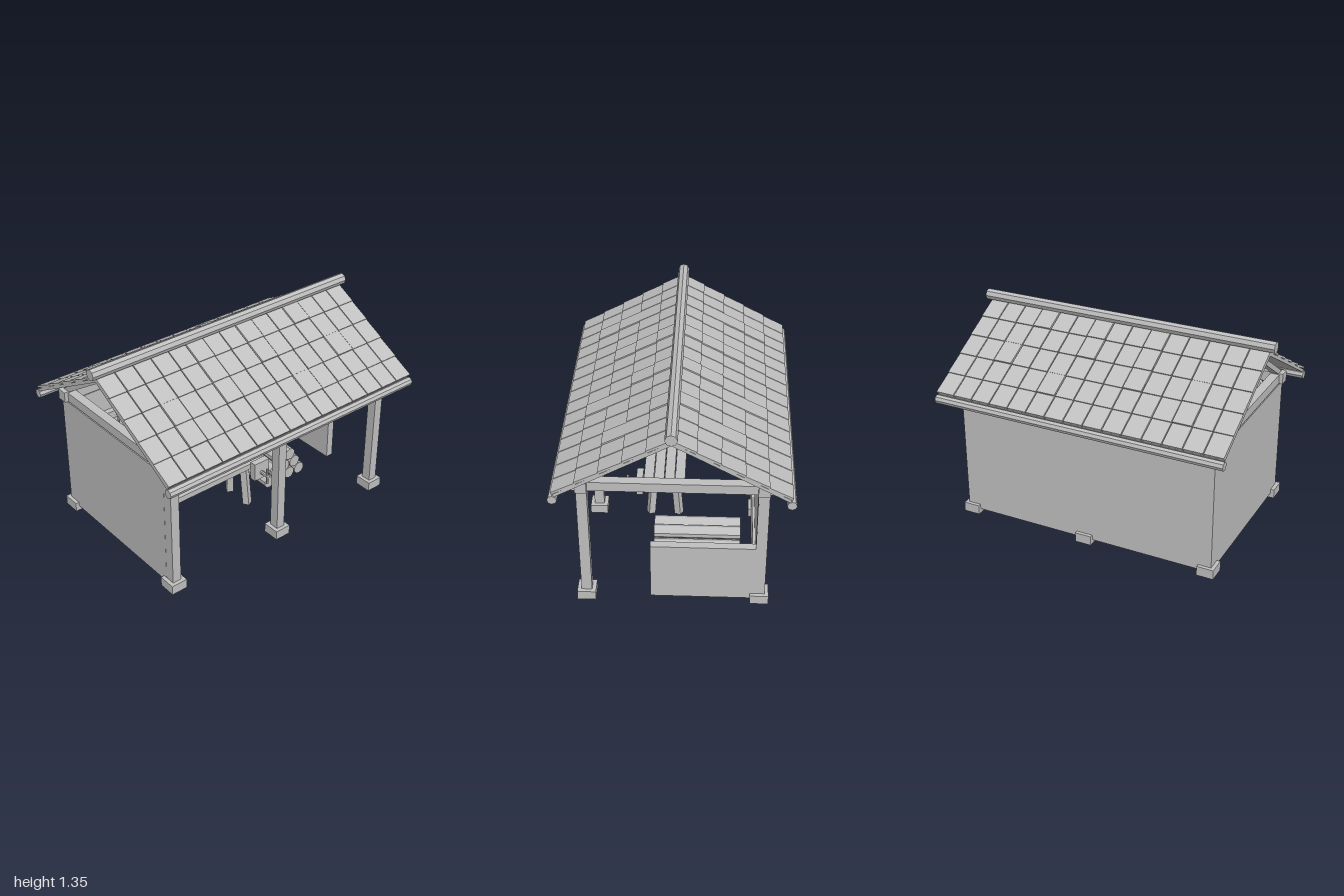
import * as THREE from 'three';

const timber = new THREE.MeshStandardMaterial({ color: 0xc0c0c0, flatShading: true, side: THREE.DoubleSide });
timber.name = 'plainGrey';

const V = (x, y, z) => new THREE.Vector3(x, y, z);

function add(parent, name, geo) {
  const m = new THREE.Mesh(geo, timber);
  m.name = name;
  parent.add(m);
  return m;
}

// box given by its limits on each axis
function box(parent, name, x0, x1, y0, y1, z0, z1) {
  const m = add(parent, name, new THREE.BoxGeometry(x1 - x0, y1 - y0, z1 - z0));
  m.position.set((x0 + x1) / 2, (y0 + y1) / 2, (z0 + z1) / 2);
  return m;
}

// square timber from a to b
function beam(parent, name, a, b, w, h) {
  const m = add(parent, name, new THREE.BoxGeometry(w, h, a.distanceTo(b)));
  m.position.copy(a).lerp(b, 0.5);
  m.lookAt(b);
  return m;
}

// round pole from a to b
function pole(parent, name, a, b, r, sides) {
  const g = new THREE.CylinderGeometry(r, r, a.distanceTo(b), sides);
  g.rotateX(Math.PI / 2);
  const m = add(parent, name, g);
  m.position.copy(a).lerp(b, 0.5);
  m.lookAt(b);
  return m;
}

function group(parent, name) {
  const g = new THREE.Group();
  g.name = name;
  parent.add(g);
  return g;
}

function buildFrame(root) {
  const g = group(root, 'frame');
  for (const z of [0.5325, -0.5325]) {
    for (const x of [-0.835, 0, 0.835]) {
      box(g, 'post', x - 0.03, x + 0.03, 0.05, 0.85, z - 0.0325, z + 0.0325);
      box(g, 'footing', x - 0.055, x + 0.055, 0.005, 0.068, z - 0.0575, z + 0.0575);
    }
    box(g, 'wallPlate', -0.89, 0.89, 0.848, 0.918, z - 0.035, z + 0.035);
  }
  for (const x of [-0.835, 0, 0.835]) {
    box(g, 'tieBeam', x - 0.03, x + 0.03, 0.848, 0.91, -0.59, 0.59);
    for (const s of [1, -1])
      beam(g, 'rafter', V(x, 1.258, 0), V(x, 0.868, s * 0.598), 0.05, 0.034);
  }
  // knee braces under the front plate
  for (const [x, d] of [[-0.805, 1], [-0.03, -1], [0.03, 1], [0.805, -1]])
    beam(g, 'kneeBrace', V(x - d * 0.02, 0.7, 0.5325), V(x + d * 0.14, 0.86, 0.5325), 0.035, 0.038);
}

function buildWalls(root) {
  const g = group(root, 'walls');
  box(g, 'backWall', -0.866, 0.866, 0.035, 0.84, -0.567, -0.505);
  box(g, 'backWallSkirt', -0.805, 0.805, 0.035, 0.26, -0.505, -0.49);
  box(g, 'sideWall', -0.866, -0.815, 0.04, 0.84, -0.566, 0.5);
  box(g, 'halfWall', 0.815, 0.866, 0.03, 0.43, -0.566, 0.137);
}

function buildRoof(root) {
  const g = group(root, 'roof');
  const slope = Math.atan2(0.39, 0.69), len = 0.7926, rows = 5, cols = 15;
  const dz = len / rows, dx = 1.94 / cols;
  // columns whose tile sits a little proud, per row from the ridge
  const proud = [[5, 8, 11], [5, 8], [2, 5, 12], [2, 9], []];
  for (const s of [1, -1]) {
    const side = group(g, 'roofSlope');
    side.position.y = 1.293;
    side.rotation.x = s * slope;
    const z0 = s > 0 ? 0 : -len;
    box(side, 'roofDeck', -0.965, 0.965, -0.03, -0.01, z0, z0 + len);
    for (let r = 0; r < rows; r++) {
      for (let c = 0; c < cols; c++) {
        const t = add(side, 'roofTile', new THREE.BoxGeometry(dx - 0.006, 0.014, dz + 0.004));
        t.position.set(-0.97 + (c + 0.5) * dx, proud[r].includes(c) ? 0.003 : -0.002, s * (r + 0.5) * dz);
        t.rotation.x = -s * 0.04;
      }
    }
    pole(g, 'eavePole', V(-0.97, 0.856, s * 0.688), V(0.97, 0.856, s * 0.688), 0.029, 8);
  }
  pole(g, 'ridgePole', V(-1, 1.319, 0), V(1, 1.319, 0), 0.037, 8);
}

function buildBench(root) {
  const g = group(root, 'workbench');
  for (let i = 0; i < 4; i++) {
    const z = -0.05 + i * 0.069;
    box(g, 'benchPlank', -0.665, 0.13, 0.322, 0.364 - (i % 2) * 0.003, z, z + 0.065);
  }
  // splayed legs
  for (const [x, sx] of [[-0.57, -1], [0.03, 1]])
    for (const s of [1, -1])
      beam(g, 'benchLeg', V(x, 0.33, 0.0875 + s * 0.07), V(x + sx * 0.012, 0.017, 0.0875 + s * 0.095), 0.045, 0.045);
  // vise
  box(g, 'viseJaw', 0.03, 0.15, 0.25, 0.378, 0.226, 0.27);
  pole(g, 'viseScrew', V(0.085, 0.3, 0.22), V(0.085, 0.3, 0.34), 0.013, 8);
  pole(g, 'viseHandle', V(0.085, 0.24, 0.33), V(0.085, 0.358, 0.33), 0.008, 6);
}

function buildTools(root) {
  const g = group(root, 'toolRack');
  box(g, 'rackBoard', -0.725, 0.195, 0.615, 0.668, -0.505, -0.465);
  for (let i = 0; i < 7; i++) {
    const x = -0.645 + i * 0.1113;
    pole(g, 'peg', V(x, 0.636, -0.47), V(x, 0.636, -0.42), 0.006, 6);
    pole(g, 'toolHandle', V(x, 0.47, -0.445), V(x, 0.664, -0.445), 0.008, 6);
    box(g, 'toolHead', x - 0.012, x + 0.012, 0.428, 0.482, -0.453, -0.437);
  }
}

function buildLogs(root) {
  const g = group(root, 'logPile');
  for (let r = 0; r < 3; r++)
    for (let i = 0; i < 4 - r; i++) {
      const x = 0.28 + r * 0.045 + i * 0.09, y = 0.052 + r * 0.077;
      pole(g, 'log', V(x, y, -0.415), V(x, y, 0.136), 0.043, 10);
    }
}

function buildBucket(root) {
  const g = group(root, 'bucket');
  g.position.set(-0.65, 0, -0.28);
  const profile = [[0, 0.015], [0.082, 0.015], [0.115, 0.132], [0.104, 0.132], [0.098, 0.11], [0, 0.11]];
  add(g, 'pail', new THREE.LatheGeometry(profile.map(p => new THREE.Vector2(...p)), 14));
  for (const [y, r] of [[0.045, 0.092], [0.1, 0.108]]) {
    const hoop = add(g, 'hoop', new THREE.CylinderGeometry(r + 0.003, r, 0.012, 14, 1, true));
    hoop.position.y = y;
  }
  // lumps filling the pail
  for (let i = 0; i < 13; i++) {
    const a = i * 2.4, r = 0.022 * Math.sqrt(i);
    const lump = add(g, 'lump', new THREE.DodecahedronGeometry(0.021));
    lump.position.set(Math.cos(a) * r, 0.147 - r * 0.25, Math.sin(a) * r);
    lump.rotation.set(i, i * 2, 0);
  }
}

export function createModel() {
  const root = new THREE.Group();
  root.name = 'openWorkshop';
  buildFrame(root);
  buildWalls(root);
  buildRoof(root);
  buildBench(root);
  buildTools(root);
  buildLogs(root);
  buildBucket(root);
  return root;
}
